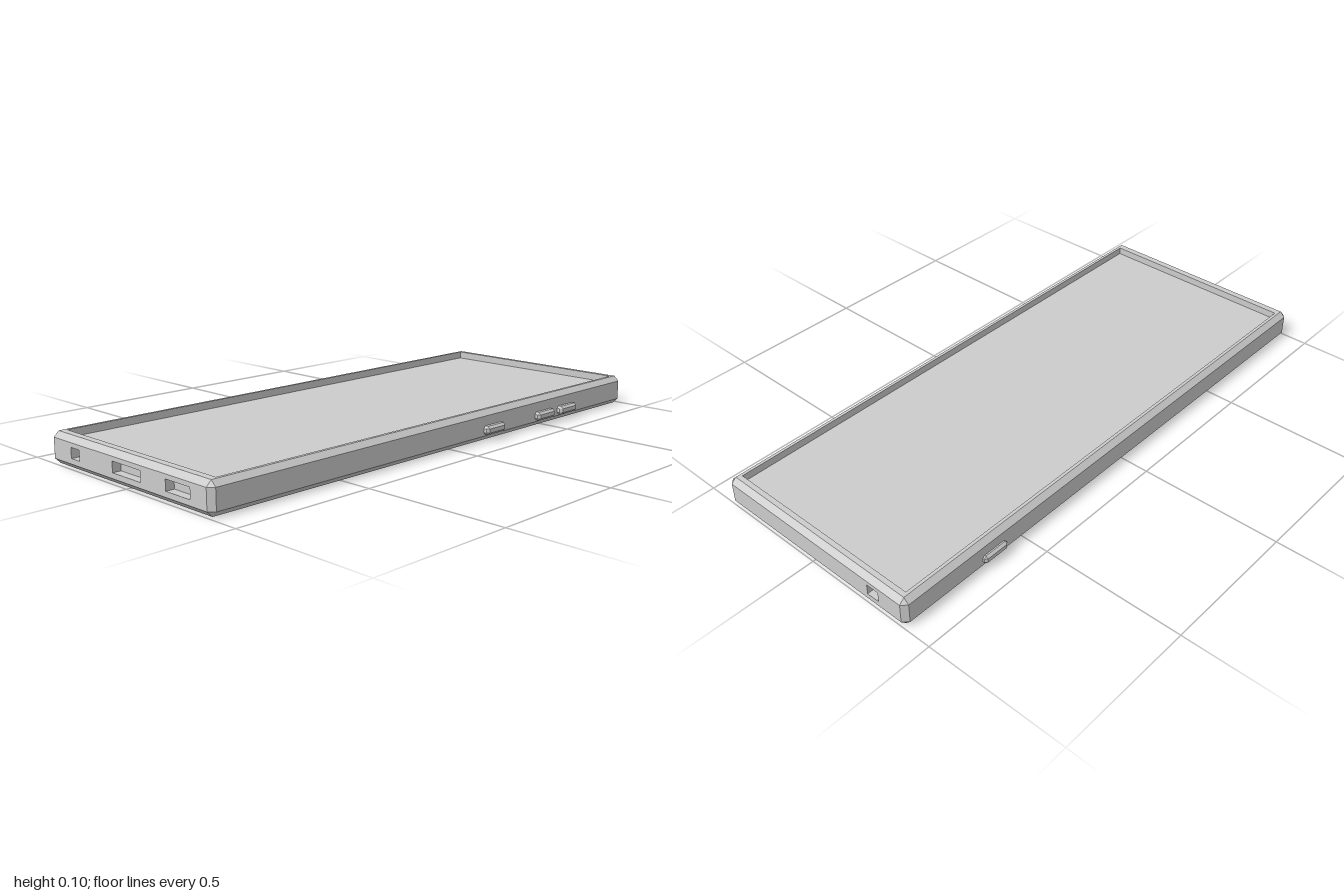
import * as THREE from 'three';

const material = new THREE.MeshStandardMaterial({ color: 0xcccccc, flatShading: true });

function mesh(name, geometry, parent, x = 0, y = 0, z = 0) {
  const m = new THREE.Mesh(geometry, material);
  m.name = name;
  m.position.set(x, y, z);
  parent.add(m);
  return m;
}

// Box with every edge and corner cut; onlyEdges leaves out top, bottom, front and back
function chamferBox(w, h, d, c, onlyEdges = false) {
  const a = w / 2, b = d / 2, ai = a - c, bi = b - c;
  const corners = [[1, 1], [1, -1], [-1, -1], [-1, 1]];
  const ring = (y, cut) => corners.flatMap(([sx, sz], i) => {
    const onZ = [sx * ai, y, sz * (cut ? b : bi)];
    const onX = [sx * (cut ? a : ai), y, sz * bi];
    return i % 2 ? [onX, onZ] : [onZ, onX];
  });
  const rings = [ring(-h / 2, false), ring(-h / 2 + c, true), ring(h / 2 - c, true), ring(h / 2, false)];
  const pos = [];
  // Adds a triangle unless it has no area
  const tri = (p, q, r) => {
    const [P, Q, R] = [p, q, r].map((v) => new THREE.Vector3(...v));
    if (Q.sub(P).cross(R.sub(P)).length() > 1e-9) pos.push(...p, ...q, ...r);
  };
  for (let k = 0; k < 3; k++) {
    for (let i = 0; i < 8; i++) {
      if (onlyEdges && k === 1 && (i === 3 || i === 7)) continue;
      const j = (i + 1) % 8;
      tri(rings[k][i], rings[k][j], rings[k + 1][j]);
      tri(rings[k][i], rings[k + 1][j], rings[k + 1][i]);
    }
  }
  if (!onlyEdges) {
    const [bottom, , , top] = rings;
    tri(bottom[0], bottom[4], bottom[2]);
    tri(bottom[0], bottom[6], bottom[4]);
    tri(top[0], top[2], top[4]);
    tri(top[0], top[4], top[6]);
  }
  const g = new THREE.BufferGeometry();
  g.setAttribute('position', new THREE.Float32BufferAttribute(pos, 3));
  g.computeVertexNormals();
  return g;
}

// Inward-facing box, open towards +z, with its mouth at z = 0
function pocketGeometry(w, h, d) {
  const g = new THREE.BoxGeometry(w, h, d).translate(0, 0, -d / 2);
  const idx = Array.from(g.index.array);
  idx.splice(24, 6);
  g.setIndex(idx.reverse());
  g.clearGroups();
  g.computeVertexNormals();
  return g;
}

const rectPoints = (x0, x1, y0, y1) =>
  [[x0, y0], [x1, y0], [x1, y1], [x0, y1]].map((p) => new THREE.Vector2(...p));

// Flat face with rectangular pockets sunk into it
function panel(name, rect, pockets, parent) {
  const group = new THREE.Group();
  group.name = name;
  const shape = new THREE.Shape(rectPoints(...rect));
  for (const p of pockets) {
    const [x0, x1, y0, y1] = p.rect;
    shape.holes.push(new THREE.Path(rectPoints(...p.rect).reverse()));
    mesh(p.name, pocketGeometry(x1 - x0, y1 - y0, p.depth), group, (x0 + x1) / 2, (y0 + y1) / 2, 0);
  }
  mesh(name + 'Surface', new THREE.ShapeGeometry(shape), group);
  parent.add(group);
  return group;
}

export function createModel() {
  const model = new THREE.Group();
  model.name = 'phone';
  // The body sits slightly off centre because of the side buttons
  const W = 0.805, H = 0.105, D = 2, C = 0.018, CX = -0.0045;
  const x0 = CX - W / 2 + C, x1 = CX + W / 2 - C, zi = D / 2 - C;

  // Chamfered outer shell and its long sides
  mesh('bodyShell', chamferBox(W, H, D, C, true), model, CX, H / 2, 0);

  // Screen sunk below a narrow rim
  const top = panel('screenFace', [x0, x1, -zi, zi],
    [{ name: 'screenRecess', rect: [-0.378, 0.369, -0.958, 0.964], depth: 0.026 }], model);
  top.rotation.x = -Math.PI / 2;
  top.position.y = H;

  // Ports along the front end
  const ports = [['jackPort', -0.292, -0.246], ['chargingPort', -0.068, 0.074], ['speakerPort', 0.195, 0.307]];
  const front = panel('frontEnd', [x0, x1, C, H - C],
    ports.map(([name, a, b]) => ({ name, rect: [a, b, 0.036, 0.072], depth: 0.03 })), model);
  front.position.z = D / 2;

  // Single port in the back end
  const back = panel('backEnd', [-x1, -x0, C, H - C],
    [{ name: 'backPort', rect: [0.25, 0.296, 0.036, 0.072], depth: 0.03 }], model);
  back.rotation.y = Math.PI;
  back.position.z = -D / 2;

  // Underside with the camera recess
  const bottom = panel('underside', [x0, x1, -zi, zi],
    [{ name: 'cameraRecess', rect: [0.08, 0.316, -0.938, -0.752], depth: 0.02 }], model);
  bottom.rotation.x = Math.PI / 2;

  // Four camera lenses on the recess floor
  for (const sx of [-1, 1]) {
    for (const sz of [-1, 1]) {
      mesh('cameraLens', new THREE.CylinderGeometry(0.04, 0.04, 0.008, 32), model,
        0.198 + sx * 0.054, 0.016, -0.845 + sz * 0.044);
    }
  }

  // Side buttons
  const buttons = [['powerButton', 0.396, -0.208], ['volumeDownButton', 0.396, -0.496],
    ['volumeUpButton', 0.396, -0.63], ['sideButton', -0.398, -0.633]];
  for (const [name, x, z] of buttons) {
    mesh(name, chamferBox(0.044, 0.03, 0.099, 0.008), model, x, 0.038, z);
  }
  return model;
}
